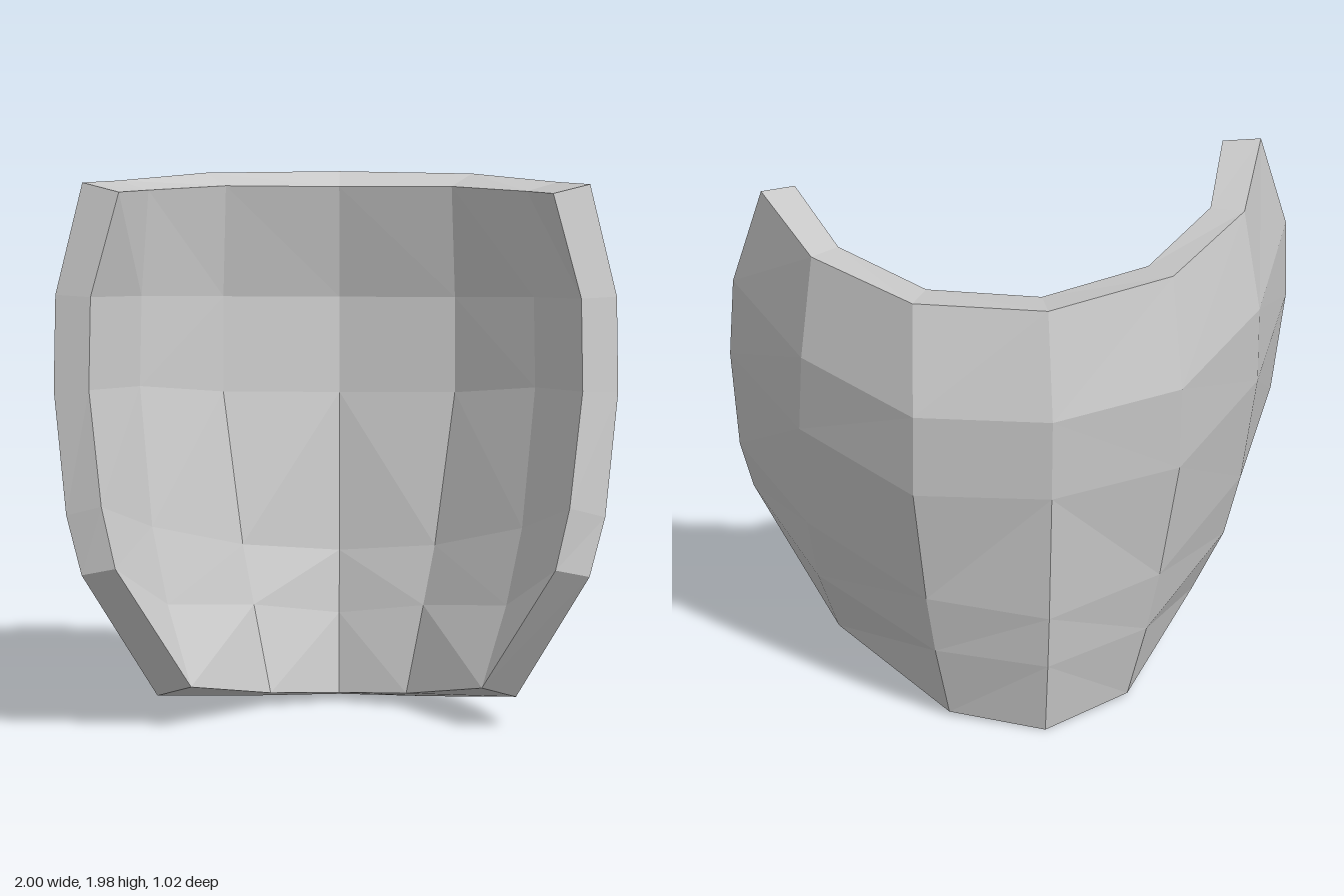
import * as THREE from 'three';

// Half profiles: one line per column from the middle to the side, [x, y, z] from top row to bottom row.
const OUTER = [
  [[0, 1.875, -0.42], [0, 1.45, -0.51], [0, 1.1, -0.49], [0, 0.54, -0.44], [0, 0.31, -0.41], [0, 0, -0.36]],
  [[0.47, 1.89, -0.31], [0.485, 1.46, -0.405], [0.48, 1.1, -0.38], [0.42, 0.59, -0.31], [0.38, 0.33, -0.27], [0.32, 0.02, -0.22]],
  [[0.78, 1.92, -0.01], [0.825, 1.52, -0.06], [0.825, 1.18, -0.02], [0.78, 0.7, 0.07], [0.73, 0.42, 0.13], [0.635, 0.11, 0.24]],
  [[0.9, 1.98, 0.33], [0.995, 1.58, 0.36], [1, 1.24, 0.39], [0.955, 0.8, 0.445], [0.9, 0.59, 0.475], [0.9, 0.59, 0.475]],
];
const INNER = [
  [[0, 1.845, -0.29], [0, 1.43, -0.38], [0, 1.09, -0.36], [0, 0.53, -0.31], [0, 0.31, -0.28], [0, 0.03, -0.235]],
  [[0.4, 1.865, -0.2], [0.41, 1.45, -0.28], [0.41, 1.11, -0.26], [0.34, 0.57, -0.2], [0.3, 0.36, -0.165], [0.24, 0.05, -0.12]],
  [[0.67, 1.9, 0.06], [0.695, 1.51, 0.02], [0.7, 1.19, 0.05], [0.655, 0.7, 0.14], [0.6, 0.43, 0.19], [0.515, 0.15, 0.285]],
  [[0.77, 1.955, 0.375], [0.87, 1.58, 0.4], [0.875, 1.25, 0.43], [0.83, 0.84, 0.49], [0.78, 0.62, 0.512], [0.78, 0.62, 0.512]],
];
const ROWS = 6;

// Point on a surface; column runs from -3 (right) to 3 (left)
function point(table, [column, row]) {
  const [x, y, z] = table[Math.abs(column)][row];
  return new THREE.Vector3(column < 0 ? -x : x, y, z);
}

function meshFrom(name, triangles, material) {
  const solid = triangles.filter((t) => new THREE.Triangle(...t).getArea() > 1e-6);
  const geometry = new THREE.BufferGeometry().setFromPoints(solid.flat());
  geometry.computeVertexNormals();
  const mesh = new THREE.Mesh(geometry, material);
  mesh.name = name;
  return mesh;
}

// Curved sheet of facets, seen from the front, or from behind when flipped
function sheet(table, flipped) {
  const triangles = [];
  for (let c = -3; c < 3; c++) {
    for (let r = 0; r < ROWS - 1; r++) {
      const [tl, bl, br, tr] = [[c, r], [c, r + 1], [c + 1, r + 1], [c + 1, r]].map((p) => point(table, p));
      const pair = c >= 0 || r === 0
        ? [[tl, bl, br], [tl, br, tr]]
        : [[tl, bl, tr], [bl, br, tr]];
      for (const t of pair) triangles.push(flipped ? t.reverse() : t);
    }
  }
  return triangles;
}

// Band that closes the thickness all round the border
function rim() {
  const border = [];
  for (let c = -3; c < 3; c++) border.push([c, 0]);
  for (let r = 0; r < ROWS - 1; r++) border.push([3, r]);
  for (let c = 3; c > -3; c--) border.push([c, ROWS - 1]);
  for (let r = ROWS - 1; r > 0; r--) border.push([-3, r]);
  return border.flatMap((p, i) => {
    const q = border[(i + 1) % border.length];
    const [a, b, c, d] = [point(OUTER, p), point(INNER, p), point(INNER, q), point(OUTER, q)];
    return [[a, b, c], [a, c, d]];
  });
}

export function createModel() {
  const group = new THREE.Group();
  group.name = 'curvedPlate';
  const material = new THREE.MeshStandardMaterial({ color: 0xcccccc, flatShading: true });
  group.add(
    meshFrom('outerShell', sheet(OUTER, true), material),
    meshFrom('innerShell', sheet(INNER, false), material),
    meshFrom('rim', rim(), material),
  );
  return group;
}
